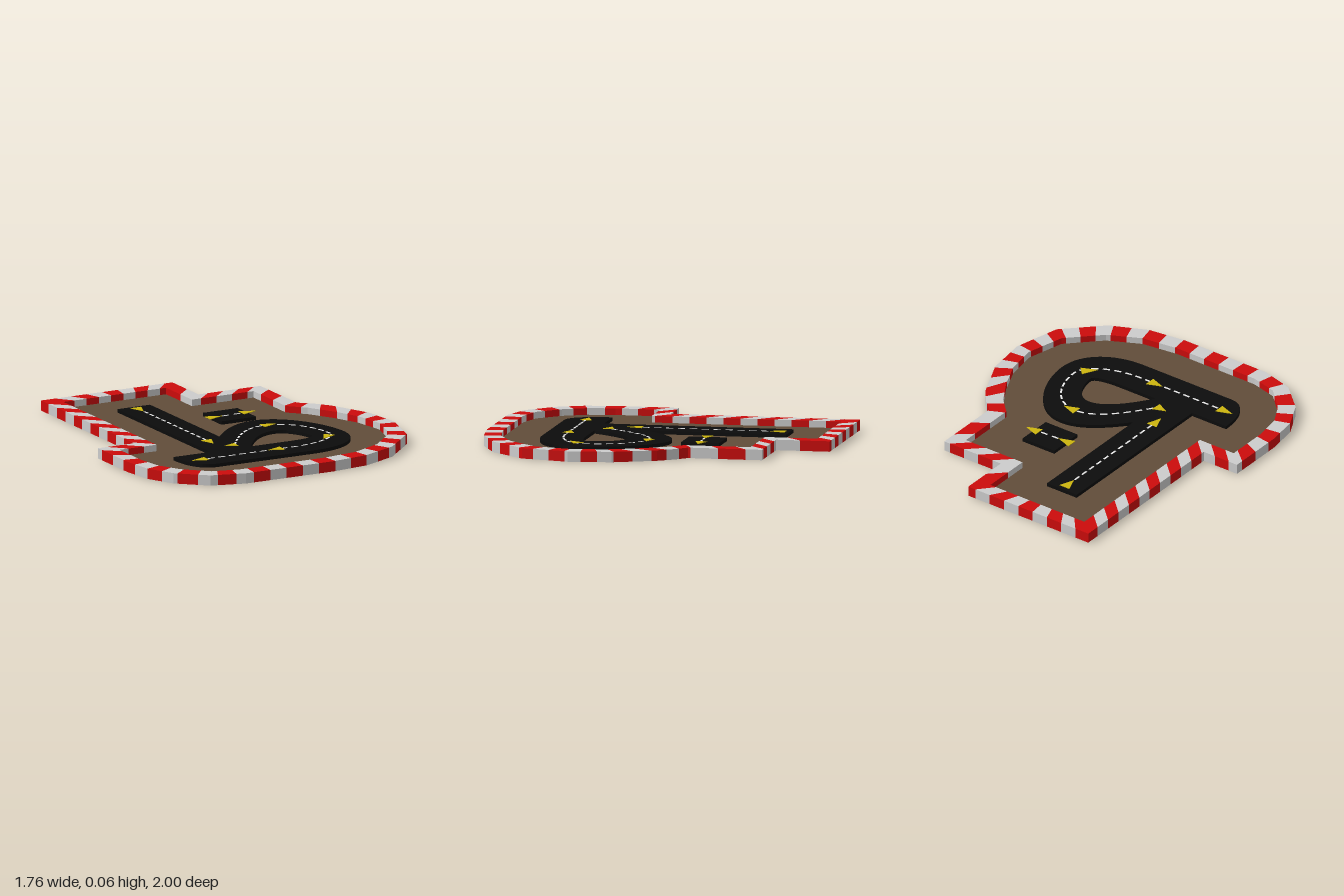
import * as THREE from 'three';

const material = (name, color) => Object.assign(new THREE.MeshStandardMaterial({ color }), { name });

const RIM_TOP = 0.06, SOIL_TOP = 0.022, ROAD_TOP = 0.042, PAINT_TOP = 0.045;

// Rim outline, clockwise from above: outer x, z, inner x, z, stripe count so far
const OUTLINE = [
  [-0.65, -1, -0.555, -0.91, 0.1], [0.2, -1, 0.11, -0.91, 8.5],
  [0.2, -0.69, 0.11, -0.605, 9.4], [0.6, -0.69, 0.51, -0.605, 13.4],
  [0.6, -0.26, 0.51, -0.22, 16.1], [0.67, -0.2, 0.6, -0.13, 17.4],
  [0.74, -0.11, 0.69, 0.02, 18.7], [0.85, 0.13, 0.76, 0.18, 21.1],
  [0.88, 0.38, 0.79, 0.37, 23.8], [0.81, 0.66, 0.73, 0.6, 26.7],
  [0.6, 0.87, 0.55, 0.78, 29.7], [0.38, 0.97, 0.36, 0.875, 32],
  [0.15, 1, 0.14, 0.905, 34.1], [-0.42, 1, -0.41, 0.905, 39.5],
  [-0.62, 0.945, -0.57, 0.865, 41.4], [-0.78, 0.8, -0.7, 0.74, 43.2],
  [-0.86, 0.64, -0.77, 0.61, 45], [-0.885, 0.45, -0.795, 0.45, 46.6],
  [-0.885, 0.1, -0.795, 0.19, 49.4], [-0.65, 0.1, -0.555, 0.19, 51.8],
];

// Striped rim: every edge is cut where the stripe count passes a whole number
function makeRim(red, white) {
  const faces = [[], []];
  const quad = (out, a, b, c, d) => out.push(...a, ...b, ...c, ...a, ...c, ...d);
  OUTLINE.forEach((p, i) => {
    const last = i === OUTLINE.length - 1;
    const q = last ? [...OUTLINE[0].slice(0, 4), 62.9] : OUTLINE[i + 1];
    const at = (u) => p.map((v, k) => v + (q[k] - v) * (u - p[4]) / (q[4] - p[4]));
    for (let u = p[4]; u < q[4] - 1e-6;) {
      const next = Math.min(Math.floor(u + 1e-6) + 1, q[4]);
      const out = faces[Math.floor(u + 1e-6) % 2];
      const [s, e] = [at(u), at(next)];
      const outer = (v, y) => [v[0], y, v[1]];
      const inner = (v, y) => [v[2], y, v[3]];
      const T = RIM_TOP;
      quad(out, outer(s, T), inner(s, T), inner(e, T), outer(e, T));
      quad(out, outer(s, T), outer(e, T), outer(e, 0), outer(s, 0));
      quad(out, inner(s, T), inner(s, 0), inner(e, 0), inner(e, T));
      quad(out, outer(s, 0), outer(e, 0), inner(e, 0), inner(s, 0));
      u = next;
    }
  });
  const rim = new THREE.Group();
  rim.name = 'stripedRim';
  faces.forEach((positions, k) => {
    const geometry = new THREE.BufferGeometry();
    geometry.setAttribute('position', new THREE.Float32BufferAttribute(positions, 3));
    geometry.computeVertexNormals();
    const mesh = new THREE.Mesh(geometry, k ? white : red);
    mesh.name = k ? 'whiteStripes' : 'redStripes';
    rim.add(mesh);
  });
  return rim;
}

// Slab from a plan drawn in (x, z), with its upper face at height top
function slab(name, shapes, top, depth, mat) {
  const geometry = new THREE.ExtrudeGeometry(shapes, { depth, bevelEnabled: false, curveSegments: 16 });
  geometry.rotateX(Math.PI / 2).translate(0, top, 0);
  const mesh = new THREE.Mesh(geometry, mat);
  mesh.name = name;
  return mesh;
}

const polygon = (points) => new THREE.Shape(points.map(([x, z]) => new THREE.Vector2(x, z)));
const rectangle = (x0, z0, x1, z1) => polygon([[x0, z0], [x1, z0], [x1, z1], [x0, z1]]);

// Road plan: straight lane joined to a teardrop loop
function roadShape() {
  const road = new THREE.Shape();
  road.moveTo(-0.57, 0.42);
  road.lineTo(-0.33, 0.42);
  road.lineTo(-0.33, -0.68);
  road.lineTo(-0.12, -0.68);
  road.lineTo(-0.12, 0.14);
  road.bezierCurveTo(0, 0, 0.1, -0.085, 0.23, -0.085);
  road.bezierCurveTo(0.42, -0.085, 0.56, 0.18, 0.56, 0.38);
  road.bezierCurveTo(0.56, 0.56, 0.4, 0.67, 0.2, 0.67);
  road.lineTo(-0.42, 0.67);
  road.bezierCurveTo(-0.53, 0.67, -0.57, 0.55, -0.57, 0.42);
  const hole = new THREE.Path();
  hole.moveTo(-0.07, 0.42);
  hole.bezierCurveTo(0, 0.32, 0.1, 0.17, 0.22, 0.17);
  hole.bezierCurveTo(0.29, 0.17, 0.35, 0.27, 0.355, 0.37);
  hole.bezierCurveTo(0.36, 0.41, 0.26, 0.42, 0.17, 0.42);
  hole.lineTo(-0.07, 0.42);
  road.holes.push(hole);
  return road;
}

// Dashes laid along a path at a regular spacing
function dashes(path, spacing = 0.068, length = 0.042, width = 0.011) {
  const count = Math.round(path.getLength() / spacing);
  return Array.from({ length: count }, (_, i) => {
    const t = (i + 0.5) / count;
    const c = path.getPointAt(t);
    const d = path.getTangentAt(t).multiplyScalar(length / 2);
    const n = new THREE.Vector2(-d.y, d.x).multiplyScalar(width / length);
    return polygon([[-1, -1], [1, -1], [1, 1], [-1, 1]].map(
      ([a, b]) => [c.x + d.x * a + n.x * b, c.y + d.y * a + n.y * b]));
  });
}

// Arrowhead from the middle of its base to its tip
function arrow([bx, bz, tx, tz]) {
  const n = new THREE.Vector2(bz - tz, tx - bx).setLength(0.034);
  return polygon([[bx - n.x, bz - n.y], [tx, tz], [bx + n.x, bz + n.y]]);
}

export function createModel() {
  const red = material('red', 0xcc0b0b);
  const white = material('rimWhite', 0xcccccc);
  const brown = material('soilBrown', 0x614d3a);
  const black = material('asphalt', 0x0c0c0c);
  const paint = material('linePaint', 0xeeeeee);
  const yellow = material('arrowYellow', 0xccb50f);

  const model = new THREE.Group();
  model.name = 'trackBase';
  model.add(makeRim(red, white));
  model.add(slab('soil', polygon(OUTLINE.map((p) => [p[2], p[3]])), SOIL_TOP, 0.005, brown));
  model.add(slab('road', roadShape(), ROAD_TOP, ROAD_TOP - SOIL_TOP, black));
  model.add(slab('shortRoad', rectangle(0.055, -0.375, 0.28, -0.155), ROAD_TOP, ROAD_TOP - SOIL_TOP, black));

  // Centre lines
  const lane = new THREE.Path().moveTo(-0.225, -0.57).lineTo(-0.225, 0.19);
  const loop = new THREE.Path().moveTo(-0.13, 0.34);
  loop.bezierCurveTo(-0.02, 0.18, 0.09, 0.045, 0.22, 0.045);
  loop.bezierCurveTo(0.36, 0.045, 0.46, 0.2, 0.465, 0.36);
  loop.bezierCurveTo(0.465, 0.48, 0.28, 0.548, 0.13, 0.548);
  loop.lineTo(-0.43, 0.548);
  const short = new THREE.Path().moveTo(0.1, -0.255).lineTo(0.25, -0.26);
  model.add(slab('centreLines', [lane, loop, short].flatMap((p) => dashes(p)), PAINT_TOP - 0.001, 0.003, paint));

  // Direction arrows
  const arrows = [
    [-0.225, -0.655, -0.225, -0.565], [-0.225, 0.175, -0.225, 0.265],
    [-0.125, 0.35, -0.2, 0.345], [0.21, 0.045, 0.3, 0.045],
    [0.445, 0.405, 0.375, 0.47], [0.065, 0.546, -0.025, 0.546],
    [-0.425, 0.546, -0.52, 0.546], [0.02, -0.255, 0.115, -0.255],
    [0.245, -0.265, 0.335, -0.265],
  ];
  model.add(slab('arrows', arrows.map(arrow), PAINT_TOP, 0.004, yellow));
  return model;
}
